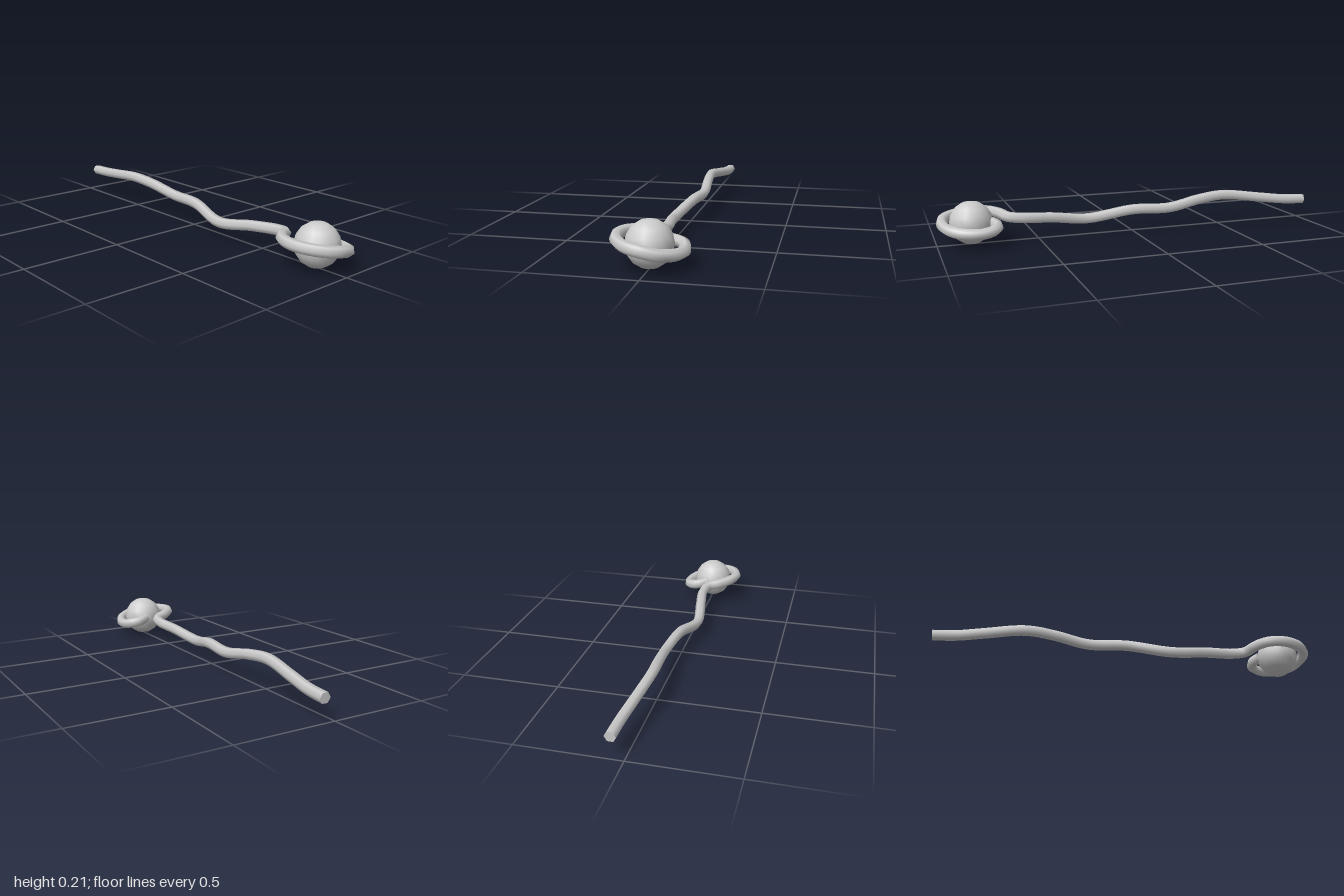
import * as THREE from 'three';

const SIDES = 6, STEPS = 160, RADIUS = 0.0275;

// Flat fan closing one ring of the tube
function endCap(tube, ring, reversed) {
  const p = tube.attributes.position;
  const corners = [];
  for (let j = 0; j < SIDES; j++) {
    corners.push(new THREE.Vector3().fromBufferAttribute(p, ring * (SIDES + 1) + j));
  }
  if (reversed) corners.reverse();
  const points = [];
  for (let j = 1; j < SIDES - 1; j++) points.push(corners[0], corners[j], corners[j + 1]);
  const geometry = new THREE.BufferGeometry().setFromPoints(points);
  geometry.computeVertexNormals();
  return geometry;
}

export function createModel() {
  const model = new THREE.Group();
  const material = new THREE.MeshStandardMaterial({ color: 0xcccccc });
  const add = (name, geometry) => {
    const mesh = new THREE.Mesh(geometry, material);
    mesh.name = name;
    model.add(mesh);
    return mesh;
  };

  // Wavy shaft that ends in a tilted loop around the orb
  const path = new THREE.CatmullRomCurve3([
    [0.057, 0.112, -1], [0.052, 0.118, -0.88], [0.035, 0.134, -0.74],
    [0.012, 0.157, -0.53], [0.02, 0.145, -0.38], [0.032, 0.114, -0.2],
    [0.012, 0.114, 0], [-0.033, 0.075, 0.23], [-0.008, 0.1, 0.43],
    [0.01, 0.113, 0.58], [-0.01, 0.12, 0.65], [-0.07, 0.13, 0.685],
    [-0.125, 0.136, 0.74], [-0.145, 0.135, 0.82], [-0.12, 0.13, 0.9],
    [-0.065, 0.122, 0.955], [0, 0.112, 0.972], [0.07, 0.094, 0.95],
    [0.125, 0.082, 0.885], [0.143, 0.079, 0.8], [0.122, 0.09, 0.735],
    [0.075, 0.1, 0.717], [0.025, 0.11, 0.742],
  ].map((p) => new THREE.Vector3(...p)));
  const tube = new THREE.TubeGeometry(path, STEPS, RADIUS, SIDES, false);
  add('staffShaft', tube);
  add('shaftEndCap', endCap(tube, 0, false));
  add('loopEndCap', endCap(tube, STEPS, true));

  // Orb held by the loop
  add('orb', new THREE.SphereGeometry(0.107, 16, 8)).position.set(0, 0.108, 0.832);

  return model;
}
